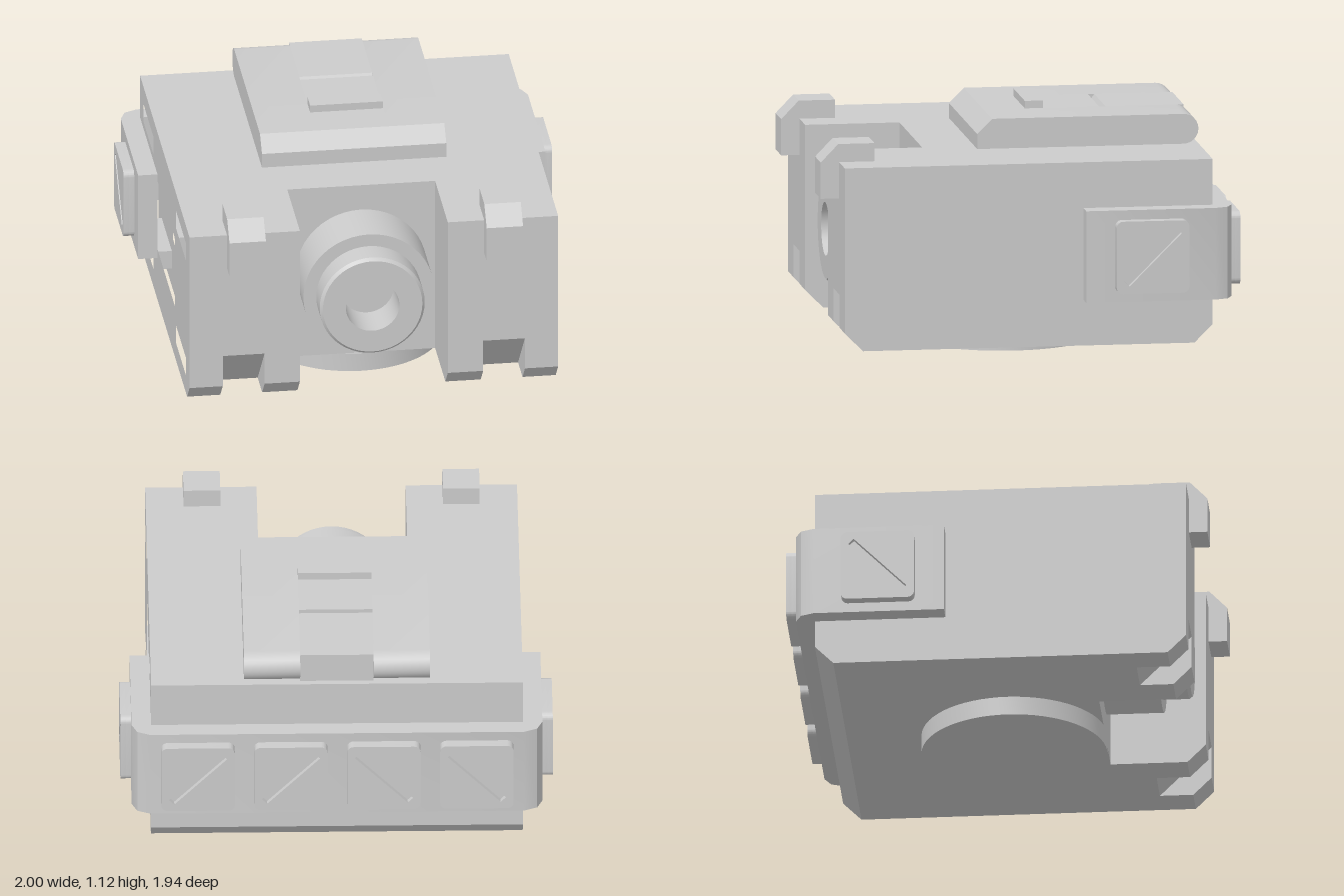
import * as THREE from 'three';
import { toCreasedNormals } from 'three/addons/utils/BufferGeometryUtils.js';

const material = new THREE.MeshStandardMaterial({ color: 0xcccccc });

function addMesh(parent, name, geometry) {
  const mesh = new THREE.Mesh(toCreasedNormals(geometry, 0.6), material);
  mesh.name = name;
  parent.add(mesh);
  return mesh;
}

// Side profile given as [z, y] points, extruded from x0 to x1
const toPath = (points) => points.map(([z, y]) => new THREE.Vector2(-z, y));
function sideExtrude(points, x0, x1, holes = []) {
  const shape = new THREE.Shape(toPath(points));
  for (const h of holes) shape.holes.push(new THREE.Path(toPath(h)));
  const g = new THREE.ExtrudeGeometry(shape, { depth: x1 - x0, bevelEnabled: false, curveSegments: 8 });
  return g.rotateY(Math.PI / 2).translate(x0, 0, 0);
}

const rect = (z0, z1, y0, y1) => [[z0, y0], [z1, y0], [z1, y1], [z0, y1]];

// Body section with a chamfered lower back and a front chamfer of the given size
const bodyProfile = (front, chamfer) => [
  [-0.835, 0.95], [-0.835, 0.175], [-0.75, 0.09],
  [front - chamfer, 0.09], [front, 0.09 + chamfer], [front, 0.95],
];

function roundedSquare(half, r) {
  const s = new THREE.Shape();
  const c = half - r;
  s.absarc(c, c, r, 0, Math.PI / 2);
  s.absarc(-c, c, r, Math.PI / 2, Math.PI);
  s.absarc(-c, -c, r, Math.PI, Math.PI * 1.5);
  s.absarc(c, -c, r, Math.PI * 1.5, Math.PI * 2);
  return s;
}

// Square pad with a diagonal groove; dir = 1 rises to the local right
function makePad(name, dir) {
  const pad = new THREE.Group();
  pad.name = name;
  const opts = { bevelEnabled: false, curveSegments: 5 };
  addMesh(pad, 'padBase', new THREE.ExtrudeGeometry(roundedSquare(0.17, 0.03), { ...opts, depth: 0.025 }));
  const face = roundedSquare(0.17, 0.03);
  const corners = [[-0.173, -0.0175], [0.173, -0.0175], [0.173, 0.0175], [-0.173, 0.0175]];
  face.holes.push(new THREE.Path(corners.map(([x, y]) =>
    new THREE.Vector2(x, y).rotateAround(new THREE.Vector2(), dir * Math.PI / 4))));
  const g = new THREE.ExtrudeGeometry(face, { ...opts, depth: 0.025 });
  addMesh(pad, 'padFace', g.translate(0, 0, 0.025));
  return pad;
}

function lathe(points, segments = 48) {
  return new THREE.LatheGeometry(points.map(([r, y]) => new THREE.Vector2(r, y)), segments);
}

export function createModel() {
  const model = new THREE.Group();
  model.name = 'boxWithLens';

  // Body: centre block, then layered side arms with notches, slots and a recess
  const body = new THREE.Group();
  body.name = 'body';
  model.add(body);
  addMesh(body, 'centreBlock', sideExtrude(bodyProfile(0.445, 0), -0.345, 0.345));

  const recess = rect(-0.33, 0.375, 0.35, 0.7);
  const slots = [];
  for (const [z0, z1] of [[0.42, 0.77], [-0.715, -0.365]])
    for (const y of [0.18, 0.77]) slots.push(rect(z0, z1, y, y + 0.09));
  const layers = [
    [0.345, 0.51, 0.085, []],
    [0.51, 0.69, 0.24, []],
    [0.69, 0.705, 0.24, [recess]],
    [0.705, 0.775, 0.085, [recess]],
    [0.775, 0.86, 0.085, [recess, ...slots]],
  ];
  const hook = [[0.72, 0.95], [0.886, 0.95], [0.886, 0.78], [0.972, 0.78],
    [0.972, 0.95], [0.89, 1.035], [0.72, 1.035]];
  for (const side of [1, -1]) {
    const label = side > 0 ? 'left' : 'right';
    const span = (a, b) => (side > 0 ? [a, b] : [-b, -a]);
    for (const [a, b, chamfer, holes] of layers)
      addMesh(body, label + 'Arm', sideExtrude(bodyProfile(0.886, chamfer), ...span(a, b), holes));
    // Front hooks
    addMesh(model, label + 'Hook', sideExtrude(hook, ...span(0.515, 0.685)));
    // Side pad
    const pad = makePad(label + 'Pad', side);
    pad.rotation.y = side * Math.PI / 2;
    pad.position.set(side * 0.95, 0.52, -0.535);
    model.add(pad);
    // Back pads
    for (const x of [0.215, 0.645]) {
      const back = makePad(label + 'BackPad', side);
      back.rotation.y = Math.PI;
      back.position.set(side * x, 0.52, -0.922);
      model.add(back);
    }
  }

  // Strap wrapped around the back
  const half = [[0.86, -0.835], [0.86, -0.23], [0.95, -0.23], [0.95, -0.835], [0.925, -0.895], [0.865, -0.922]];
  const outline = [...half, ...half.map(([x, z]) => [-x, z]).reverse()];
  const strap = new THREE.ExtrudeGeometry(
    new THREE.Shape(outline.map(([x, z]) => new THREE.Vector2(x, -z))), { depth: 0.43, bevelEnabled: false });
  addMesh(model, 'strap', strap.rotateX(-Math.PI / 2).translate(0, 0.305, 0));

  // Lid: rounded hinge ends on the outside, slotted section between them
  const lidFront = [[0.2, 0.95], [0.2, 1.02], [0.13, 1.09]];
  const hinge = [];
  for (let i = 0; i <= 12; i++) {
    const a = Math.PI / 2 + (Math.PI * i) / 12;
    hinge.push([-0.765 + 0.07 * Math.cos(a), 1.02 + 0.07 * Math.sin(a)]);
  }
  const slotted = [...lidFront, [-0.41, 1.09], [-0.41, 1.05], [-0.44, 1.09], [-0.805, 1.09], [-0.805, 0.95]];
  addMesh(model, 'lidLeft', sideExtrude([...lidFront, ...hinge], 0.17, 0.43));
  addMesh(model, 'lidRight', sideExtrude([...lidFront, ...hinge], -0.43, -0.17));
  addMesh(model, 'lidCentre', sideExtrude(slotted, -0.17, 0.17));
  addMesh(model, 'lidGrip', new THREE.BoxGeometry(0.34, 0.045, 0.085).translate(0, 1.1025, -0.105));

  // Lens barrel with a stepped front and a bore
  const lens = lathe([[0.305, 0.44], [0.305, 0.71], [0.245, 0.71], [0.245, 0.83],
    [0.232, 0.845], [0.125, 0.845], [0.125, 0.65], [0, 0.65]]);
  addMesh(model, 'lens', lens.rotateX(Math.PI / 2).translate(0, 0.52, 0));

  // Round foot
  addMesh(model, 'foot', lathe([[0, 0], [0.43, 0], [0.43, 0.09], [0, 0.09]], 64).translate(0, 0, 0.025));

  return model;
}
